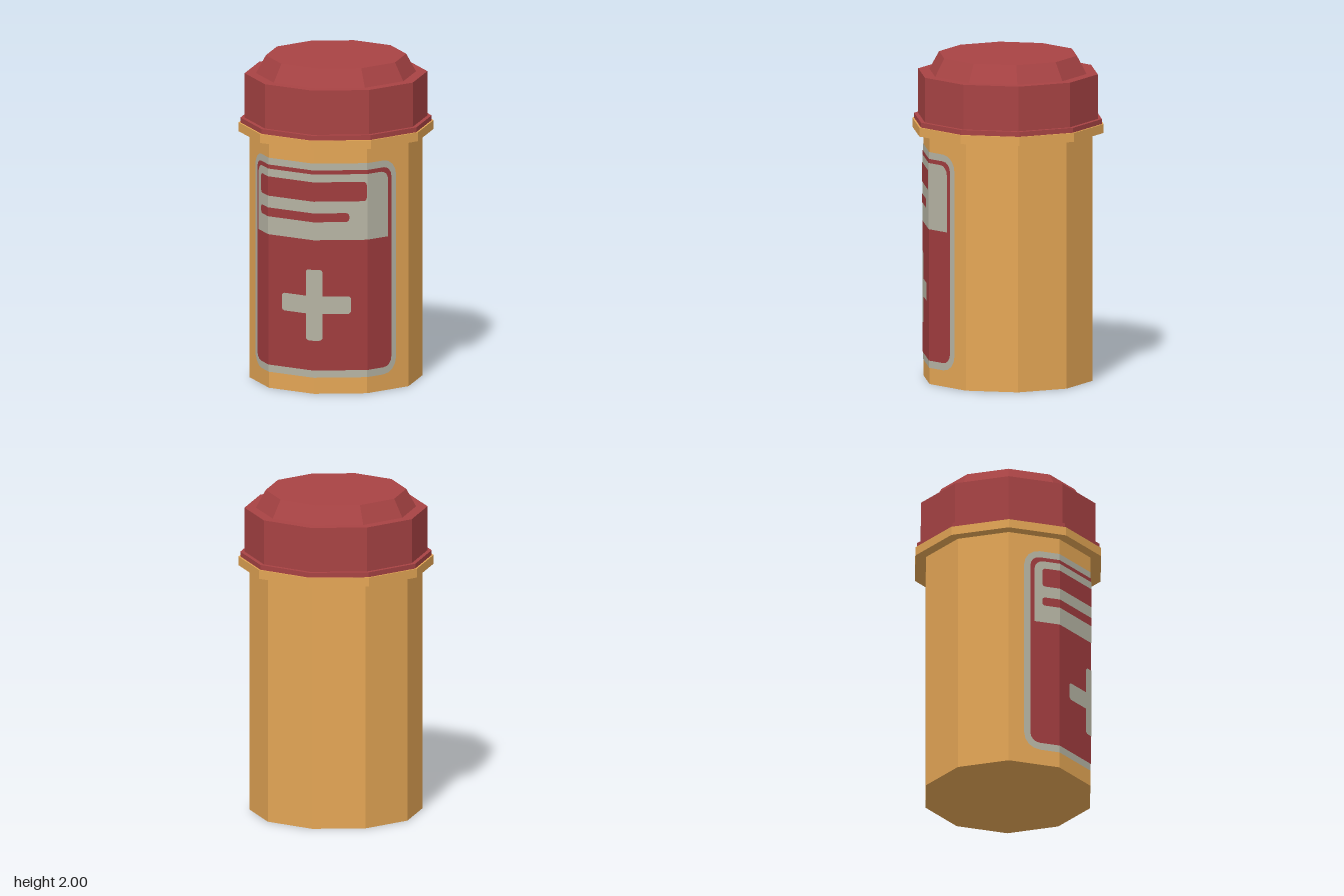
import * as THREE from 'three';

const SIDES = 10;
const BODY_R = 0.525;
const STEP = (Math.PI * 2) / SIDES;
const FACET = 2 * BODY_R * Math.sin(STEP / 2); // width of one body facet

const material = (name, color) => {
  const m = new THREE.MeshStandardMaterial({ color, flatShading: true });
  m.name = name;
  return m;
};

// Ten-sided turned solid from a [radius, height] profile, bottom to top
function turned(name, profile, mat) {
  const points = profile.map(([r, y]) => new THREE.Vector2(r, y));
  const mesh = new THREE.Mesh(new THREE.LatheGeometry(points, SIDES), mat);
  mesh.name = name;
  return mesh;
}

// Rounded rectangle outline, counter-clockwise; s runs around the body, y up
function roundedRect(s0, s1, y0, y1, rTop, rBottom = rTop) {
  const corners = [
    [s1 - rBottom, y0 + rBottom, rBottom, -Math.PI / 2],
    [s1 - rTop, y1 - rTop, rTop, 0],
    [s0 + rTop, y1 - rTop, rTop, Math.PI / 2],
    [s0 + rBottom, y0 + rBottom, rBottom, Math.PI],
  ];
  const out = [];
  for (const [s, y, r, start] of corners) {
    const n = r > 0 ? 4 : 0;
    for (let i = 0; i <= n; i++) {
      const a = start + (n ? (i / n) * Math.PI / 2 : 0);
      out.push([s + r * Math.cos(a), y + r * Math.sin(a)]);
    }
  }
  return out;
}

// Keep the part of a convex outline where side * (s - limit) >= 0
function clip(poly, limit, side) {
  const out = [];
  poly.forEach((p, i) => {
    const q = poly[(i + 1) % poly.length];
    const dp = side * (p[0] - limit);
    const dq = side * (q[0] - limit);
    if (dp >= 0) out.push(p);
    if (dp * dq < 0) {
      const t = dp / (dp - dq);
      out.push([limit, p[1] + (q[1] - p[1]) * t]);
    }
  });
  return out;
}

// Fold flat outlines around the front four facets, lifted slightly off the body
function wrapped(name, outlines, lift, mat) {
  const positions = [];
  const r = BODY_R + lift;
  for (const outline of outlines) {
    for (let k = -2; k < 2; k++) {
      const piece = clip(clip(outline, k * FACET, 1), (k + 1) * FACET, -1);
      const a = k * STEP;
      const b = a + STEP;
      const pts = piece.map(([s, y]) => {
        const t = s / FACET - k;
        return [
          r * THREE.MathUtils.lerp(Math.sin(a), Math.sin(b), t),
          y,
          r * THREE.MathUtils.lerp(Math.cos(a), Math.cos(b), t),
        ];
      });
      for (let i = 1; i < pts.length - 1; i++) {
        positions.push(...pts[0], ...pts[i], ...pts[i + 1]);
      }
    }
  }
  const geo = new THREE.BufferGeometry();
  geo.setAttribute('position', new THREE.Float32BufferAttribute(positions, 3));
  geo.computeVertexNormals();
  const mesh = new THREE.Mesh(geo, mat);
  mesh.name = name;
  return mesh;
}

export function createModel() {
  const amber = material('amber plastic', 0xe4a655);
  const capRed = material('cap red', 0xa84344);
  const labelRed = material('label red', 0xa03c3e);
  const paper = material('label paper', 0xb6b4a4);

  const model = new THREE.Group();
  model.name = 'pillBottle';

  // Bottle with the flange under the cap
  model.add(turned('bottle', [
    [0, 0], [BODY_R, 0], [BODY_R, 1.53], [0.593, 1.53], [0.593, 1.585], [0.5, 1.585],
  ], amber));

  // Cap with lower rim, shoulder and bevelled top
  model.add(turned('cap', [
    [0.582, 1.585], [0.582, 1.615], [0.556, 1.615], [0.556, 1.89],
    [0.487, 1.89], [0.427, 2], [0, 2],
  ], capRed));

  // Label, layered from the border outwards
  const label = new THREE.Group();
  label.name = 'label';
  label.add(
    wrapped('labelBorder', [roundedRect(-0.55, 0.55, 0.1, 1.43, 0.1)], 0.002, paper),
    wrapped('labelField', [roundedRect(-0.511, 0.511, 0.145, 1.388, 0.06)], 0.004, labelRed),
    wrapped('labelHeader', [roundedRect(-0.485, 0.485, 0.955, 1.363, 0.055, 0)], 0.006, paper),
    wrapped('headerBars', [
      roundedRect(-0.437, 0.32, 1.195, 1.315, 0.02),
      roundedRect(-0.437, 0.215, 1.067, 1.122, 0.02),
    ], 0.008, labelRed),
    wrapped('cross', [
      roundedRect(-0.055, 0.055, 0.33, 0.77, 0.02),
      roundedRect(-0.226, 0.226, 0.495, 0.605, 0.02),
    ], 0.006, paper),
  );
  model.add(label);

  return model;
}
